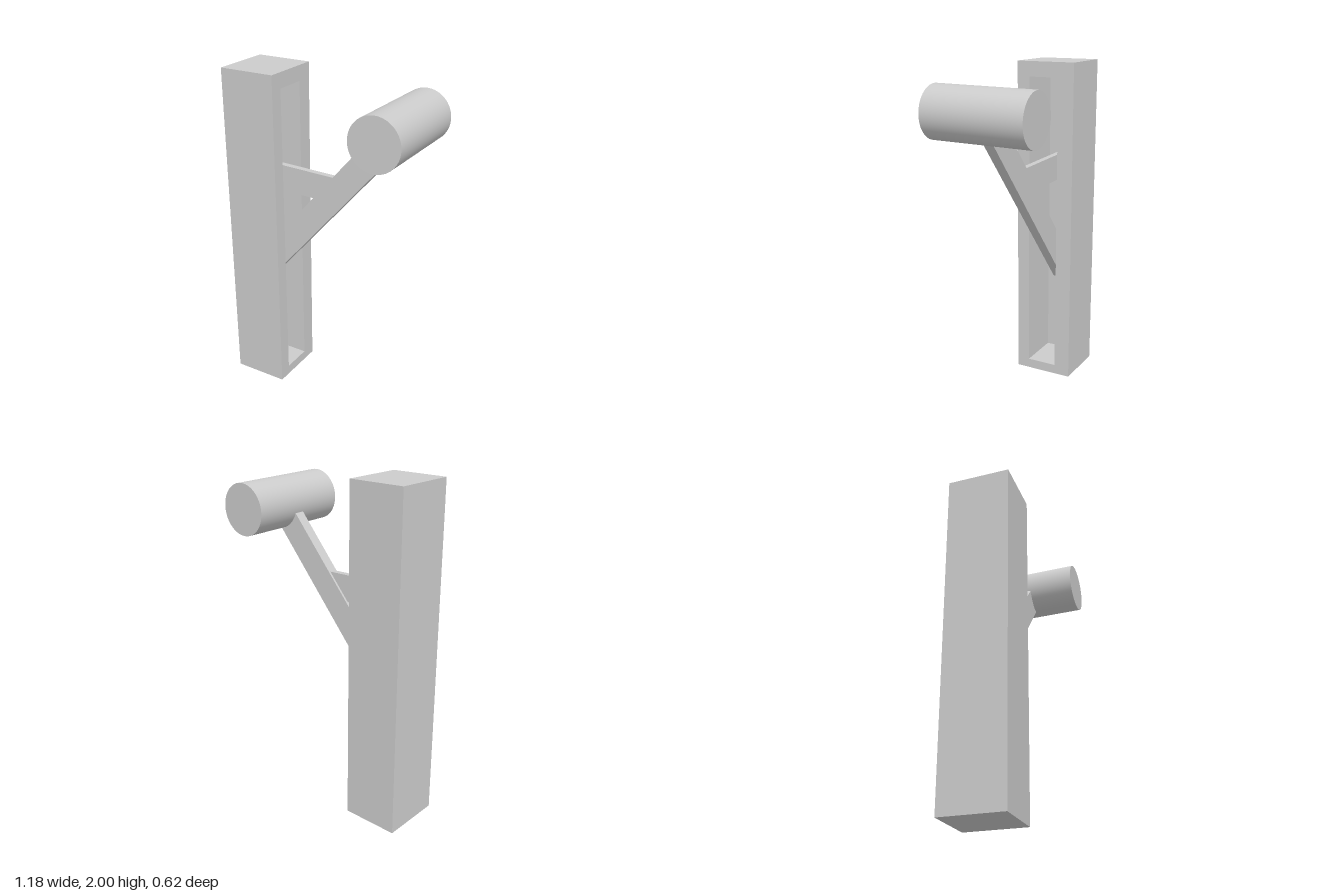
import * as THREE from 'three';

const material = new THREE.MeshStandardMaterial({ color: 0xcccccc });

function addMesh(parent, name, geometry) {
  const mesh = new THREE.Mesh(geometry, material);
  mesh.name = name;
  parent.add(mesh);
  return mesh;
}

// Rectangular path helper for the post outline and its slot
function rectangle(path, x0, y0, x1, y1) {
  path.moveTo(x0, y0);
  path.lineTo(x1, y0);
  path.lineTo(x1, y1);
  path.lineTo(x0, y1);
  path.closePath();
  return path;
}

// Flat bar running between two points in the x-y plane
function addBar(parent, name, from, to, height, depth) {
  const a = new THREE.Vector2(...from);
  const b = new THREE.Vector2(...to);
  const bar = addMesh(parent, name, new THREE.BoxGeometry(a.distanceTo(b), height, depth));
  bar.position.set((a.x + b.x) / 2, (a.y + b.y) / 2, 0);
  bar.rotation.z = Math.atan2(b.y - a.y, b.x - a.x);
  return bar;
}

export function createModel() {
  const model = new THREE.Group();
  model.name = 'postWithArm';

  const left = -0.59, slotFloor = -0.53, right = -0.25;

  // Hollow post: slotted frame closed by a back wall
  const post = new THREE.Group();
  post.name = 'post';
  model.add(post);
  const outline = rectangle(new THREE.Shape(), -0.185, 0, 0.185, 2);
  outline.holes.push(rectangle(new THREE.Path(), -0.105, 0.06, 0.085, 1.91));
  const frame = new THREE.ExtrudeGeometry(outline, { depth: right - slotFloor, bevelEnabled: false });
  frame.rotateY(Math.PI / 2);
  addMesh(post, 'slottedFrame', frame).position.x = slotFloor;
  const wall = addMesh(post, 'backWall', new THREE.BoxGeometry(slotFloor - left, 2, 0.37));
  wall.position.set((left + slotFloor) / 2, 1, 0);

  // Diagonal arm from inside the slot to the middle of the head
  addBar(model, 'arm', [-0.517, 0.65], [0.435, 1.77], 0.156, 0.062);

  // Short brace between the slot and the arm
  addBar(model, 'brace', [-0.54, 1.353], [0.032, 1.337], 0.159, 0.037);

  // Cylindrical head, tipped very slightly
  const drum = new THREE.CylinderGeometry(0.151, 0.151, 0.615, 64);
  drum.rotateX(Math.PI / 2);
  const head = addMesh(model, 'head', drum);
  head.position.set(0.435, 1.767, 0);
  head.rotation.x = -0.01;

  return model;
}
